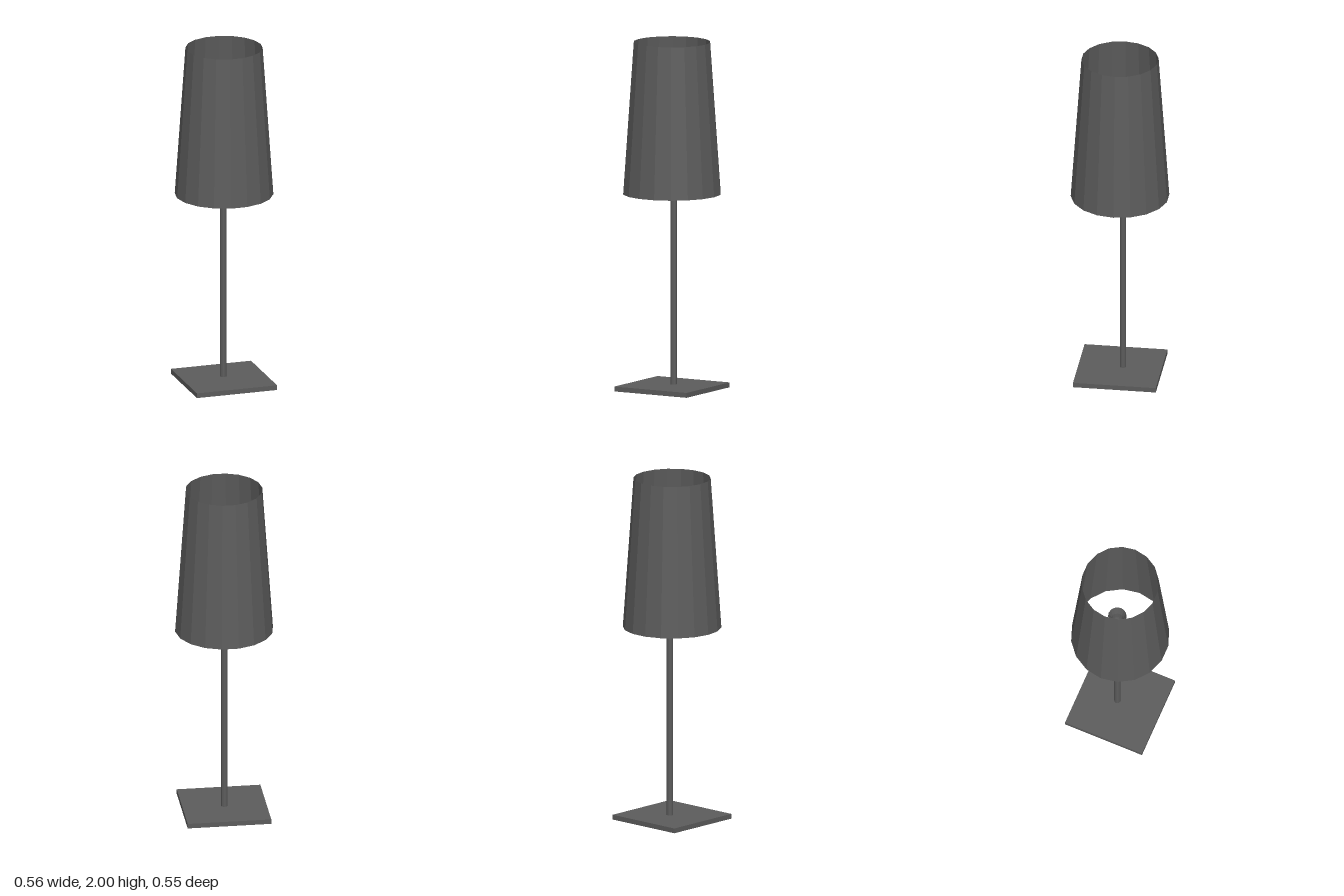
import * as THREE from 'three';

export function createModel() {
  const lamp = new THREE.Group();
  lamp.name = 'tableLamp';
  const color = 0x5c5c5c;
  const solid = new THREE.MeshStandardMaterial({ color, flatShading: true });
  const thin = new THREE.MeshStandardMaterial({ color, flatShading: true, side: THREE.DoubleSide });
  const stemX = 0.001, stemZ = -0.018;

  const add = (name, geometry, material, x, y, z) => {
    const mesh = new THREE.Mesh(geometry, material);
    mesh.name = name;
    mesh.position.set(x, y, z);
    lamp.add(mesh);
  };

  // Square foot plate
  add('base', new THREE.BoxGeometry(0.48, 0.028, 0.476), solid, 0, 0.014, -0.001);

  // Slim stem, reaching up into the socket
  const stemBottom = 0.026, stemTop = 1.34;
  add('stem', new THREE.CylinderGeometry(0.018, 0.018, stemTop - stemBottom, 14), solid,
    stemX, (stemBottom + stemTop) / 2, stemZ);

  // Flared open bulb socket hidden inside the shade
  const socketProfile = [[0.018, 0], [0.03, 0.005], [0.035, 0.03], [0.037, 0.08], [0.053, 0.14]]
    .map(([r, y]) => new THREE.Vector2(r, y));
  add('socket', new THREE.LatheGeometry(socketProfile, 16), thin, stemX, 1.29, stemZ);

  // Open tapered shade with 18 flat panels, a corner on each side
  const shadeBottom = 1.127, shadeTop = 2;
  add('shade',
    new THREE.CylinderGeometry(0.22, 0.281, shadeTop - shadeBottom, 18, 1, true, Math.PI / 2),
    thin, 0, (shadeBottom + shadeTop) / 2, 0);

  return lamp;
}
